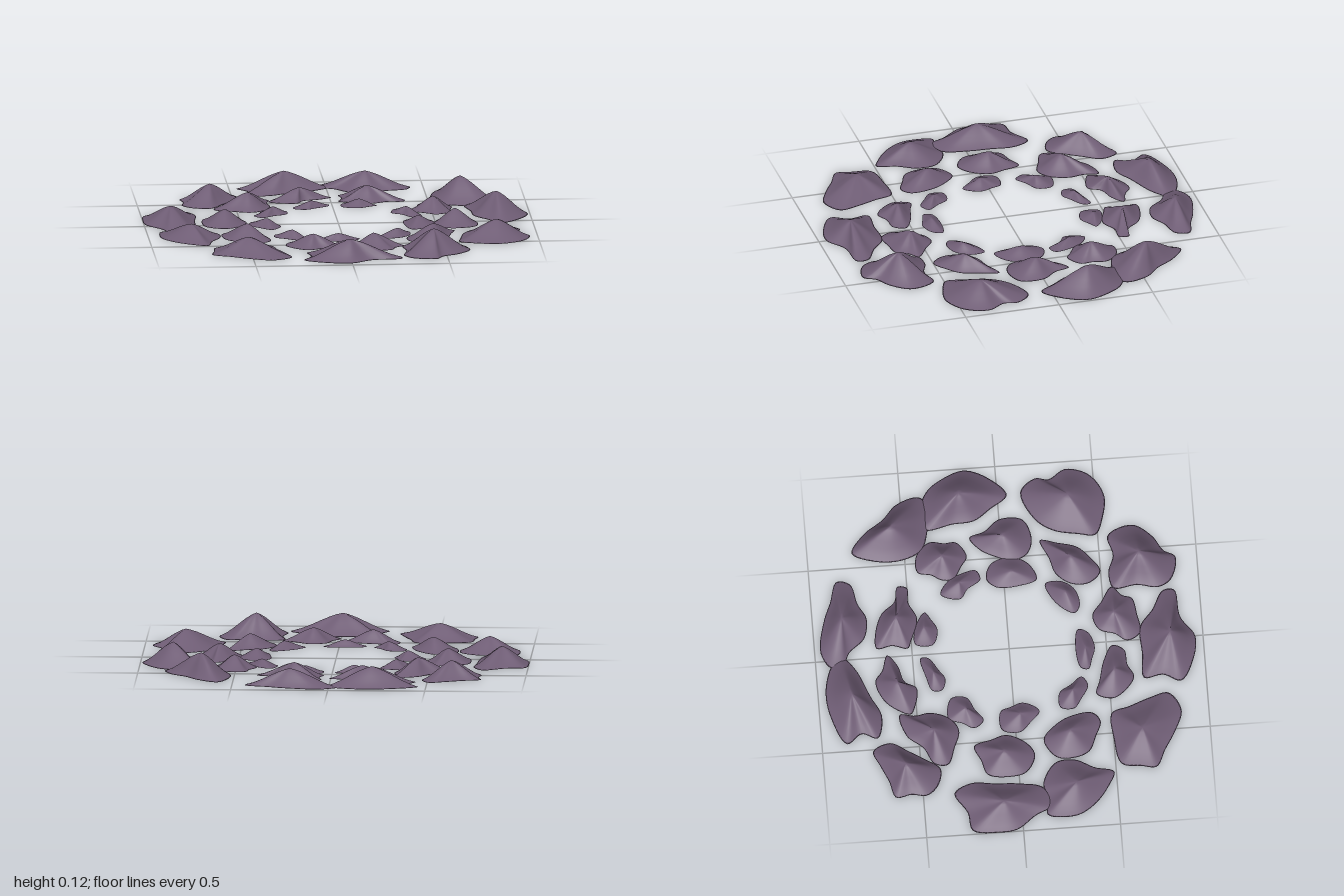
import * as THREE from 'three';

const SEGMENTS = 56;
const RINGS = [1, 0.965, 0.8, 0.62, 0.44, 0.28, 0.13]; // share of the distance from peak to rim

// Softly rounded slope: 0 at the rim, 1 at the peak
const slope = (r) => 0.55 * (1 - r) + 0.45 * (0.5 + 0.5 * Math.cos(Math.PI * r));

// Mound with an irregular outline; all sizes in hundredths, outline clockwise from above
function moundGeometry([px, pz, height], outline) {
  const points = [];
  for (let i = 0; i < outline.length; i += 2) {
    points.push(new THREE.Vector3(outline[i], 0, outline[i + 1]));
  }
  const rim = new THREE.CatmullRomCurve3(points, true).getPoints(SEGMENTS).slice(0, SEGMENTS);
  const position = [];
  const index = [];
  for (const r of RINGS) {
    for (const p of rim) {
      position.push((px + (p.x - px) * r) / 100, (height * slope(r)) / 100, (pz + (p.z - pz) * r) / 100);
    }
  }
  const peak = RINGS.length * SEGMENTS;
  position.push(px / 100, height / 100, pz / 100, px / 100, 0, pz / 100);

  for (let i = 0; i < SEGMENTS; i++) {
    const j = (i + 1) % SEGMENTS;
    for (let k = 0; k < RINGS.length - 1; k++) {
      const a = k * SEGMENTS;
      const b = a + SEGMENTS;
      index.push(a + i, b + i, a + j, a + j, b + i, b + j);
    }
    const top = (RINGS.length - 1) * SEGMENTS;
    index.push(peak, top + j, top + i); // tip
    index.push(peak + 1, i, j); // underside
  }
  const geometry = new THREE.BufferGeometry();
  geometry.setAttribute('position', new THREE.Float32BufferAttribute(position, 3));
  geometry.setIndex(index);
  geometry.computeVertexNormals();
  return geometry;
}

export function createModel() {
  const model = new THREE.Group();
  model.name = 'moundRings';
  const stone = new THREE.MeshStandardMaterial({ color: 0x6f5d75 });
  stone.name = 'dusty purple stone';

  const ring = (name) => {
    const group = new THREE.Group();
    group.name = name;
    model.add(group);
    return (peak, outline) => {
      const mesh = new THREE.Mesh(moundGeometry(peak, outline), stone);
      mesh.name = `${name}Mound${group.children.length + 1}`;
      group.add(mesh);
    };
  };

  // Outer ring: large mounds, given as peak (x, z, height) and outline (x, z pairs)
  const outer = ring('outer');
  outer([-22, -83, 10], [-46, -87, -32, -94, -17, -96, -3, -92, 2, -87, -5, -80, -21, -73, -32, -68, -44, -71, -41, -79]);
  outer([20, -85, 9], [-4, -92, 5, -97, 22, -94, 32, -90, 43, -86, 41, -79, 30, -76, 22, -72, 11, -74, 4, -82, -3, -86]);
  outer([67, -56, 12], [58, -77, 68, -70, 75, -60, 83, -52, 86, -40, 79, -35, 68, -37, 57, -41, 52, -53, 53, -67]);
  outer([83, -20, 11.5], [68, -39, 80, -40, 89, -36, 95, -28, 99, -16, 94, -4, 84, 5, 77, -4, 71, -13, 70, -24]);
  outer([79, 36, 9], [85, 12, 92, 20, 91, 27, 96, 36, 92, 48, 80, 55, 67, 53, 59, 49, 60, 40, 63, 27, 70, 18]);
  outer([44, 70, 12], [29, 56, 38, 54, 47, 57, 58, 55, 63, 68, 56, 78, 48, 83, 44, 89, 32, 86, 28, 79, 30, 68]);
  outer([0, 83, 10], [-21, 68, -8, 68, 7, 68, 16, 75, 26, 81, 26, 87, 11, 89, 0, 96, -13, 94, -24, 87, -20, 78]);
  outer([-51, 65, 8], [-67, 53, -53, 50, -39, 50, -36, 59, -32, 70, -30, 80, -40, 86, -51, 82, -61, 76, -70, 71, -69, 63]);
  outer([-78, 29, 7.5], [-92, 13, -83, 14, -75, 12, -64, 19, -63, 29, -68, 39, -71, 49, -78, 46, -87, 39, -93, 30, -94, 21]);
  outer([-86, -9, 8.7], [-77, -34, -72, -25, -73, -13, -74, 0, -77, 12, -87, 16, -92, 7, -99, -3, -100, -13, -98, -26, -88, -28]);
  outer([-62, -58, 9.3], [-51, -74, -47, -65, -52, -56, -57, -48, -63, -40, -72, -42, -77, -48, -76, -56, -77, -64, -68, -67, -59, -71]);

  // Middle ring: medium mounds
  const middle = ring('middle');
  middle([-44, -42, 8], [-32, -59, -33, -51, -32, -43, -36, -33, -43, -29, -52, -32, -61, -36, -60, -43, -51, -48, -44, -56]);
  middle([-16, -59, 6.5], [-31, -57, -24, -66, -13, -70, -7, -66, 1, -63, -5, -58, -14, -55, -18, -49, -29, -51, -32, -53]);
  middle([19, -57, 7.5], [5, -68, 14, -68, 24, -64, 30, -57, 38, -55, 37, -50, 29, -50, 20, -46, 8, -50, 4, -52, 6, -60]);
  middle([51, -31, 7], [45, -44, 54, -44, 61, -37, 60, -29, 60, -23, 52, -18, 47, -21, 40, -26, 40, -32, 43, -37]);
  middle([60, 1, 7.5], [62, -16, 65, -8, 71, 0, 70, 12, 59, 16, 51, 13, 48, 5, 51, -4, 55, -11]);
  middle([46, 35, 7], [58, 20, 56, 29, 53, 39, 47, 45, 39, 50, 33, 44, 33, 35, 39, 27, 48, 24]);
  middle([14, 55, 7], [7, 47, 15, 44, 22, 49, 30, 55, 25, 60, 23, 65, 14, 67, 4, 68, 0, 61, 4, 55]);
  middle([-17, 53, 6.5], [-28, 43, -21, 45, -10, 48, -2, 53, -5, 59, -13, 60, -20, 63, -28, 57, -31, 51]);
  middle([-49, 28, 7], [-51, 14, -43, 21, -39, 29, -38, 40, -43, 44, -51, 41, -59, 37, -62, 29, -61, 20]);
  middle([-58, -7, 7], [-52, -22, -49, -13, -47, -5, -52, 5, -59, 9, -68, 4, -70, -5, -68, -16, -60, -19]);

  // Inner ring: small, low mounds
  const inner = ring('inner');
  inner([-11, -40, 3.5], [-2, -46, -2, -42, -9, -37, -14, -34, -20, -36, -20, -41, -12, -44]);
  inner([14, -43, 3.5], [6, -48, 16, -47, 23, -42, 19, -39, 13, -36, 5, -39]);
  inner([37, -23, 3.5], [32, -33, 39, -29, 43, -21, 44, -14, 39, -12, 34, -19, 29, -23]);
  inner([41, 4, 4.5], [39, -9, 47, -6, 50, 4, 46, 13, 37, 17, 34, 8, 34, -4]);
  inner([28, 31, 4], [34, 21, 35, 29, 30, 36, 21, 38, 17, 35, 23, 26]);
  inner([-3, 39, 3.5], [-13, 36, -2, 34, 8, 36, 6, 41, -2, 44, -9, 42, -14, 40]);
  inner([-26, 31, 4], [-34, 24, -26, 24, -22, 30, -18, 36, -23, 39, -30, 35, -35, 31]);
  inner([-37, 3, 4], [-44, -7, -34, -7, -32, -2, -30, 5, -35, 13, -41, 8, -46, 2]);
  inner([-32, -25, 4], [-36, -34, -25, -32, -25, -24, -32, -20, -38, -16, -42, -21, -39, -27]);

  return model;
}
